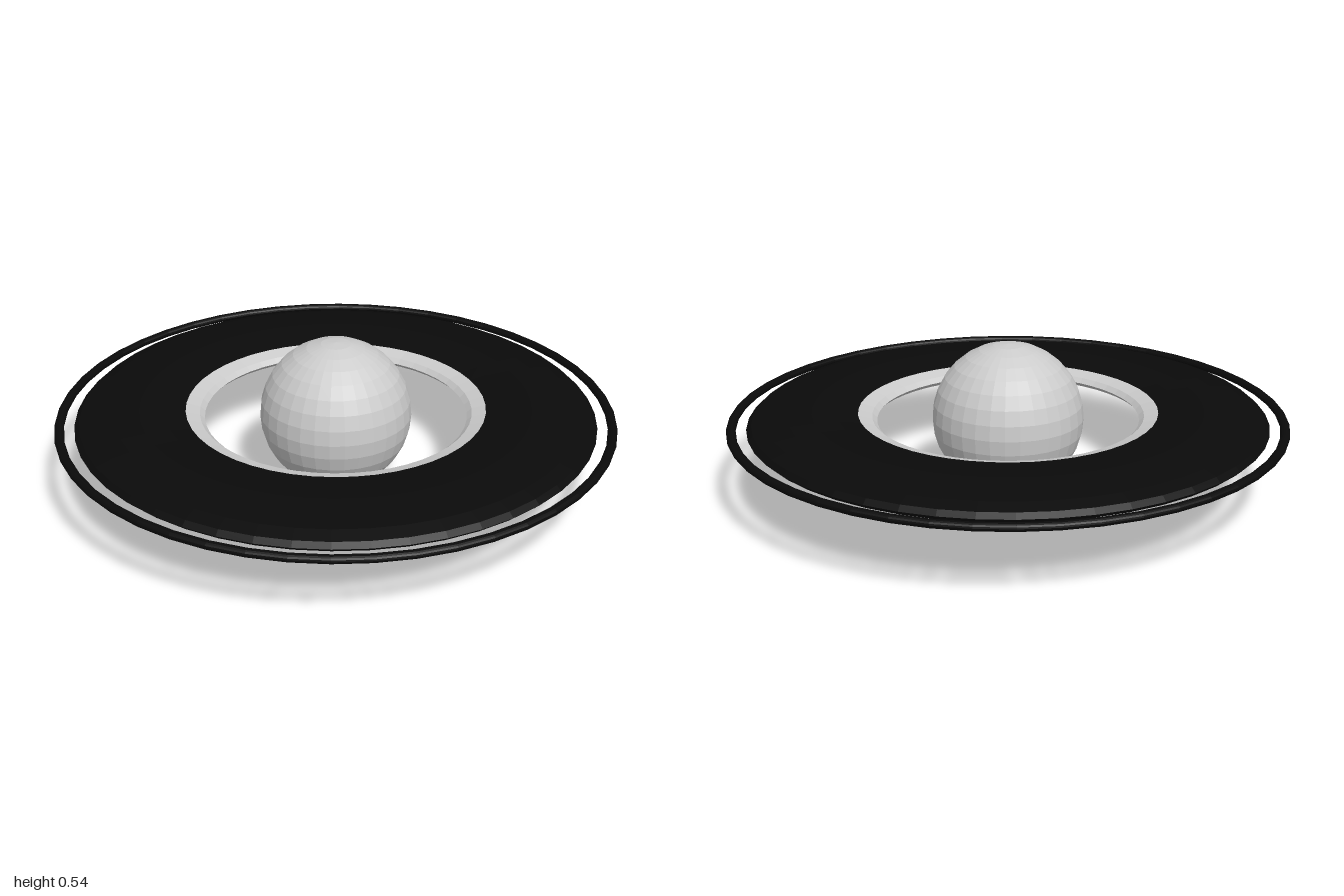
import * as THREE from 'three';

const CENTER_Y = 0.273;
const SIDES = 16; // facets around a full ring cross-section

const grey = new THREE.MeshStandardMaterial({ color: 0xcccccc, flatShading: true });
const black = new THREE.MeshStandardMaterial({ color: 0x0a0a0a, flatShading: true });

// Sweeps an elliptical cross-section, from facet corner `first` to `last`, around the y axis
function ringBand(name, material, radius, halfWidth, halfHeight, first, last, segments) {
  const profile = [];
  for (let i = first; i <= last; i++) {
    const a = (i / SIDES) * Math.PI * 2;
    profile.push(new THREE.Vector2(radius + halfWidth * Math.cos(a), halfHeight * Math.sin(a)));
  }
  const mesh = new THREE.Mesh(new THREE.LatheGeometry(profile, segments), material);
  mesh.name = name;
  mesh.position.y = CENTER_Y;
  return mesh;
}

export function createModel() {
  const model = new THREE.Group();
  model.name = 'ringedPlanet';

  // Faceted globe
  const globe = new THREE.Mesh(new THREE.SphereGeometry(0.272, 32, 16), grey);
  globe.name = 'globe';
  globe.position.y = CENTER_Y;
  model.add(globe);

  // Broad flattened ring: dark over most of its section, pale on its inner rim
  model.add(ringBand('mainRing', black, 0.7, 0.23, 0.043, -6, 6, 48));
  model.add(ringBand('innerRim', grey, 0.7, 0.23, 0.043, 6, 10, 48));

  // Thin separate outer ring
  model.add(ringBand('outerRing', black, 0.983, 0.017, 0.014, 0, SIDES, 48));

  return model;
}
